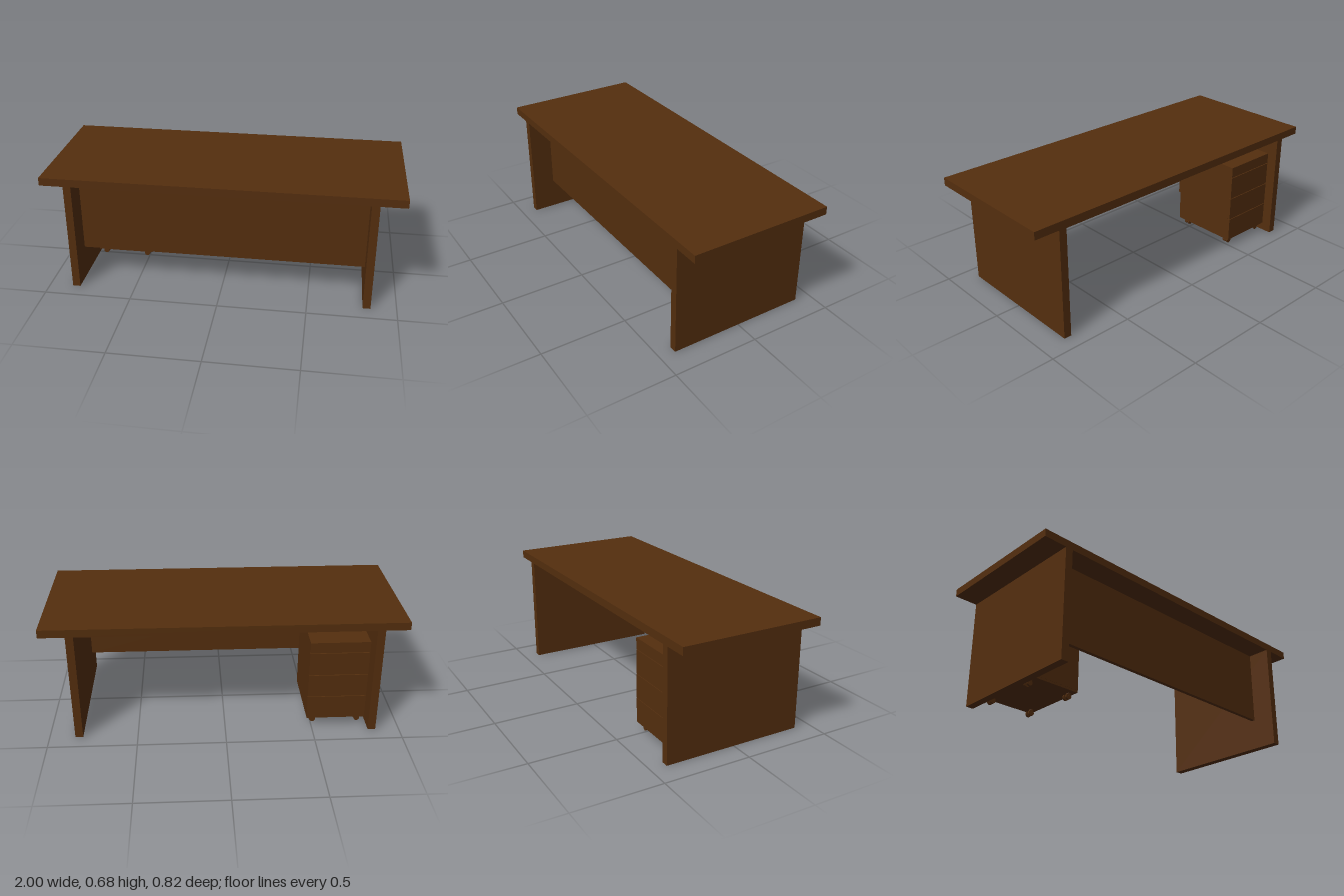
import * as THREE from 'three';

const wood = new THREE.MeshStandardMaterial({ color: 0x542e0e });
wood.name = 'dark brown wood';

// Box given by its minimum and maximum along each axis
function slab(parent, name, [x0, x1], [y0, y1], [z0, z1]) {
  const mesh = new THREE.Mesh(new THREE.BoxGeometry(x1 - x0, y1 - y0, z1 - z0), wood);
  mesh.position.set((x0 + x1) / 2, (y0 + y1) / 2, (z0 + z1) / 2);
  mesh.name = name;
  parent.add(mesh);
  return mesh;
}

// Swivel caster: stem, fork bridge and twin wheels on an axle
function makeCaster() {
  const caster = new THREE.Group();
  caster.name = 'caster';
  const cylinder = (name, radius, length, x, y, z, lying) => {
    const mesh = new THREE.Mesh(new THREE.CylinderGeometry(radius, radius, length, 16), wood);
    mesh.position.set(x, y, z);
    if (lying) mesh.rotation.x = Math.PI / 2;
    mesh.name = name;
    caster.add(mesh);
  };
  cylinder('casterStem', 0.006, 0.026, 0.01, 0.045, 0, false);
  cylinder('casterPlate', 0.014, 0.005, 0.01, 0.053, 0, false);
  cylinder('casterAxle', 0.005, 0.036, 0, 0.032, 0, true);
  for (const s of [-1, 1]) cylinder('casterWheel', 0.017, 0.011, 0, 0.032, s * 0.012, true);
  slab(caster, 'casterBridge', [-0.004, 0.02], [0.028, 0.038], [-0.006, 0.006]);
  return caster;
}

function makePedestal() {
  const pedestal = new THREE.Group();
  pedestal.name = 'drawerPedestal';
  const x = [-0.803, -0.47];
  const zBack = -0.36, zFront = 0.06;

  // Carcass and base board
  slab(pedestal, 'pedestalCarcass', x, [0.068, 0.545], [zBack + 0.016, zFront]);
  slab(pedestal, 'pedestalBase', [x[0] + 0.001, x[1] - 0.001], [0.055, 0.068], [zBack + 0.004, zFront - 0.001]);

  // Shallow top drawer over three equal ones, separated by narrow gaps
  const levels = [0.06, 0.202, 0.342, 0.482, 0.545];
  for (let i = 0; i < levels.length - 1; i++) {
    const top = levels[i + 1] - (i < levels.length - 2 ? 0.004 : 0);
    slab(pedestal, 'drawerFront', x, [levels[i], top], [zBack, zBack + 0.016]);
  }

  for (const cx of [-0.768, -0.508]) {
    for (const cz of [zBack + 0.045, zFront - 0.045]) {
      const caster = makeCaster();
      caster.position.set(cx, 0, cz);
      pedestal.add(caster);
    }
  }
  return pedestal;
}

export function createModel() {
  const desk = new THREE.Group();
  desk.name = 'desk';
  const depth = [-0.408, 0.408];

  slab(desk, 'tabletop', [-1, 1], [0.638, 0.683], depth);
  slab(desk, 'rightLegPanel', [-0.865, -0.821], [0, 0.638], depth);
  slab(desk, 'leftLegPanel', [0.811, 0.855], [0, 0.638], depth);
  slab(desk, 'modestyPanel', [-0.821, 0.811], [0.187, 0.638], [0.25, 0.272]);
  desk.add(makePedestal());
  return desk;
}
